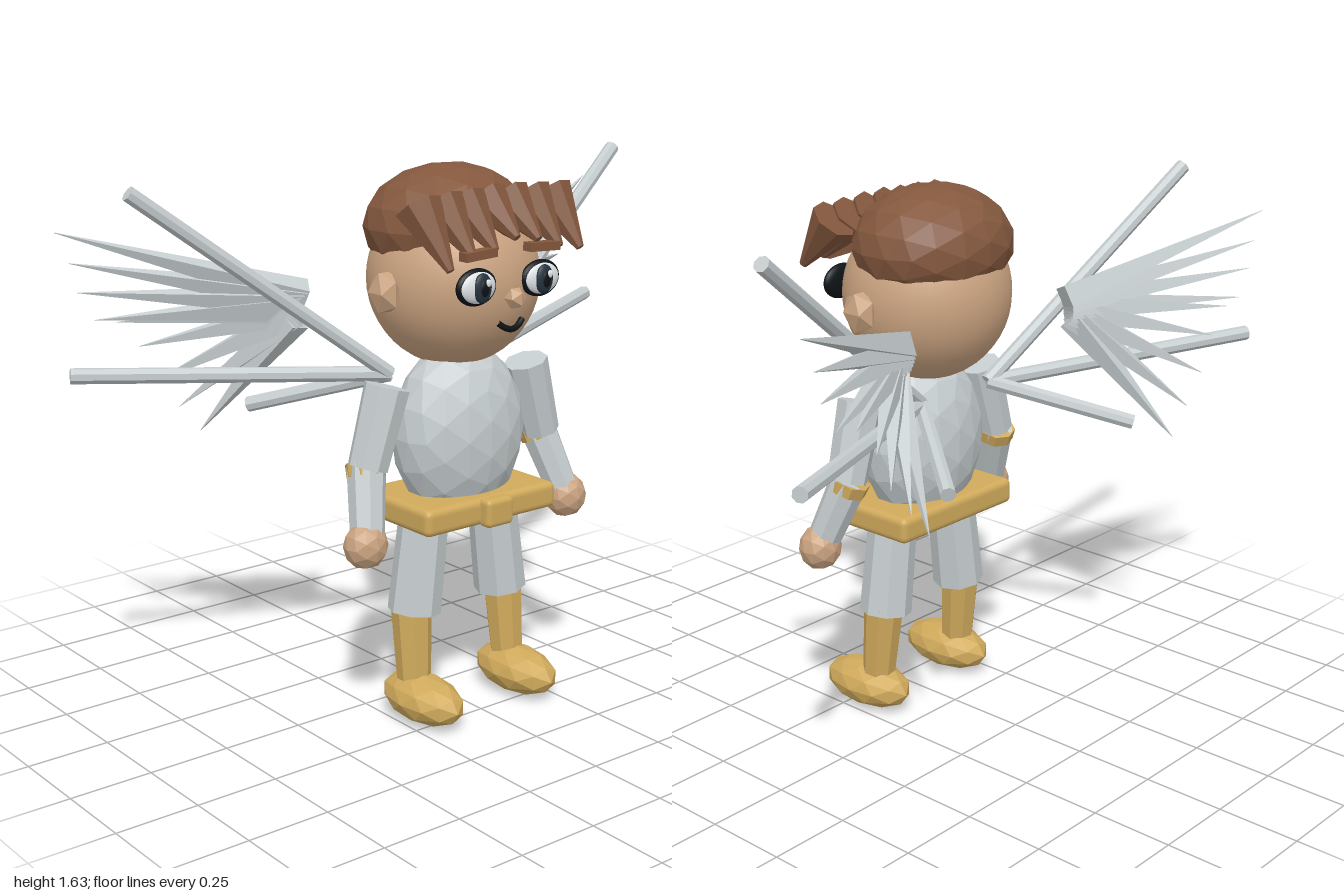
import * as THREE from 'three';
import { RoundedBoxGeometry } from 'three/addons/geometries/RoundedBoxGeometry.js';

const mat = (name, color, flatShading = true) => {
  const m = new THREE.MeshStandardMaterial({ color, flatShading });
  m.name = name;
  return m;
};

export function createModel() {
  const silver = mat('silver', 0xc6cdcf);
  const gold = mat('gold', 0xd0aa5c);
  const skin = mat('skin', 0xcba481);
  const hair = mat('brown hair', 0x84583e);
  const black = mat('black', 0x0e1216, false);
  const white = mat('eye white', 0xe3e8ea, false);
  const iris = mat('dark iris', 0x24323e, false);
  const smoothSkin = skin.clone();
  smoothSkin.flatShading = false;

  const model = new THREE.Group();
  model.name = 'wingedFigure';

  const add = (name, geometry, material, pos = [0, 0, 0], scale = [1, 1, 1]) => {
    const m = new THREE.Mesh(geometry, material);
    m.name = name;
    m.position.set(...pos);
    m.scale.set(...scale);
    model.add(m);
    return m;
  };
  // faceted and smooth ellipsoids
  const gem = (name, material, pos, radii, detail = 1) =>
    add(name, new THREE.IcosahedronGeometry(1, detail), material, pos, radii);
  const ball = (name, material, pos, radii) =>
    add(name, new THREE.SphereGeometry(1, 32, 24), material, pos, radii);
  // tapered cylinder running from a (radius ra) to b (radius rb)
  const limb = (name, material, a, b, ra, rb, sides = 8) => {
    const from = new THREE.Vector3(...a), to = new THREE.Vector3(...b);
    const axis = to.clone().sub(from);
    const m = add(name, new THREE.CylinderGeometry(rb, ra, axis.length(), sides), material);
    m.position.copy(from).add(to).multiplyScalar(0.5);
    m.quaternion.setFromUnitVectors(new THREE.Vector3(0, 1, 0), axis.normalize());
    return m;
  };

  // head, hair cap and torso
  ball('head', smoothSkin, [0, 1.315, 0.11], [0.255, 0.26, 0.25]);
  gem('hairCap', hair, [0, 1.465, 0.085], [0.258, 0.177, 0.225], 2);
  gem('torso', silver, [0, 0.86, 0.135], [0.218, 0.27, 0.157], 2);

  // fringe of pointed locks
  for (let i = -3; i <= 3; i++) {
    const x = i * 0.08;
    limb('fringeLock', hair, [x, 1.55, 0.25],
      [x + 0.02, 1.455 - Math.abs(i) * 0.02 + (i % 2) * 0.008, 0.365], 0.07, 0.012, 7);
  }

  // face
  gem('nose', skin, [0, 1.29, 0.382], [0.031, 0.033, 0.033], 0);
  const smile = new THREE.CatmullRomCurve3([
    [-0.045, 1.222, 0.36], [-0.025, 1.207, 0.366], [0, 1.2, 0.37],
    [0.025, 1.207, 0.366], [0.045, 1.222, 0.36],
  ].map((p) => new THREE.Vector3(...p)));
  add('mouth', new THREE.TubeGeometry(smile, 16, 0.009, 8), black);

  // belt
  add('belt', new RoundedBoxGeometry(0.494, 0.08, 0.32, 3, 0.02), gold, [0, 0.65, 0.14]);
  add('buckle', new RoundedBoxGeometry(0.1, 0.085, 0.05, 3, 0.015), gold, [0, 0.65, 0.31]);

  // feather tips, top to bottom: x, y
  const tips = [
    [1.0, 1.475], [0.96, 1.385], [0.94, 1.3], [0.89, 1.215], [0.82, 1.2],
    [0.75, 1.12], [0.7, 1.01], [0.625, 0.92], [0.555, 0.835],
  ];

  for (const s of [-1, 1]) {
    const side = s > 0 ? 'left' : 'right';

    // eye, brow and ear
    ball(side + 'EyeRim', black, [s * 0.118, 1.33, 0.352], [0.071, 0.053, 0.022]);
    ball(side + 'EyeWhite', white, [s * 0.118, 1.33, 0.358], [0.063, 0.046, 0.022]);
    ball(side + 'Iris', iris, [s * 0.114, 1.33, 0.375], [0.031, 0.042, 0.014]);
    ball(side + 'Pupil', black, [s * 0.114, 1.33, 0.382], [0.017, 0.026, 0.01]);
    ball(side + 'EyeGlint', white, [s * 0.114 + 0.01, 1.345, 0.389], [0.009, 0.011, 0.005]);
    add(side + 'Brow', new THREE.BoxGeometry(0.11, 0.025, 0.035), hair,
      [s * 0.117, 1.422, 0.36]).rotation.z = -s * 0.05;
    gem(side + 'Ear', skin, [s * 0.265, 1.3, 0.13], [0.042, 0.067, 0.06], 0);

    // arm
    limb(side + 'UpperArm', silver, [s * 0.263, 1.03, 0.135], [s * 0.33, 0.8, 0.13], 0.068, 0.06);
    limb(side + 'ElbowBand', gold, [s * 0.328, 0.81, 0.115], [s * 0.334, 0.775, 0.128], 0.06, 0.058);
    limb(side + 'Forearm', silver, [s * 0.328, 0.81, 0.12], [s * 0.378, 0.61, 0.19], 0.058, 0.05);
    gem(side + 'Hand', skin, [s * 0.386, 0.595, 0.192], [0.067, 0.07, 0.062]);

    // leg and boot
    limb(side + 'Thigh', silver, [s * 0.13, 0.63, 0.137], [s * 0.168, 0.33, 0.137], 0.074, 0.08);
    limb(side + 'BootShaft', gold, [s * 0.178, 0.36, 0.135], [s * 0.184, 0.1, 0.157], 0.062, 0.05);
    gem(side + 'Foot', gold, [s * 0.184, 0.075, 0.2], [0.09, 0.071, 0.162]);

    // wing struts
    for (const [x, y, z] of [[0.9, 1.6, -0.165], [0.99, 1.073, -0.375], [0.42, 0.905, -0.35]])
      limb(side + 'WingStrut', silver, [s * 0.15, 1.025, 0.0], [s * x, y, z], 0.023, 0.023);

    // fan of pointed feathers
    tips.forEach(([x, y], i) => {
      const t = i / (tips.length - 1);
      limb(side + 'Feather', silver, [s * (0.36 + 0.04 * t), 1.265 - 0.065 * t, -0.125],
        [s * x, y, -0.405], 0.05, 0.001, 4);
    });
  }
  return model;
}
